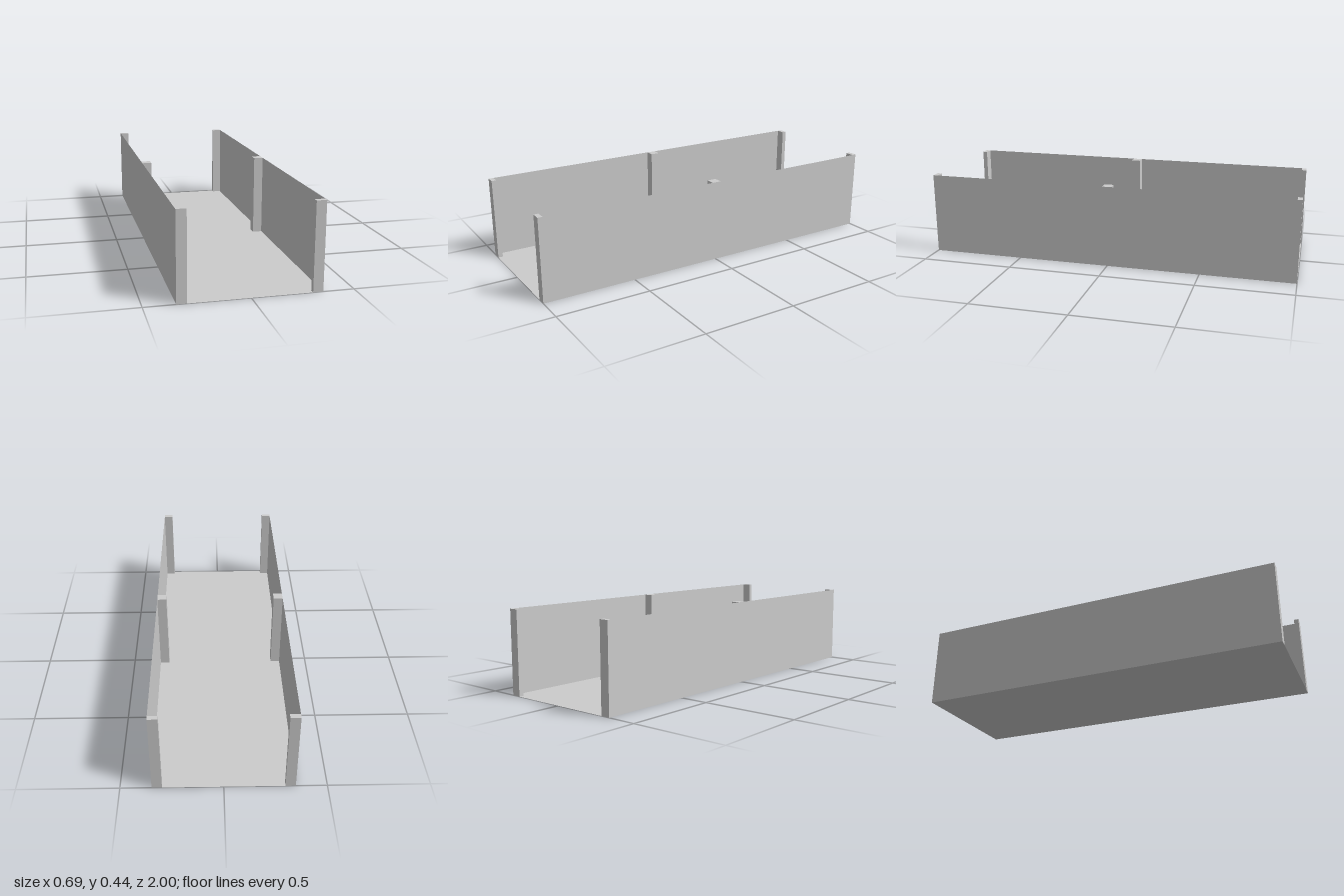
import * as THREE from 'three';

const WIDTH = 0.695, HEIGHT = 0.44, LENGTH = 2, POST = 0.05;

export function createModel() {
  const model = new THREE.Group();
  model.name = 'channel';
  const solid = new THREE.MeshStandardMaterial({ color: 0xcccccc, flatShading: true });
  const sheet = solid.clone();
  sheet.side = THREE.DoubleSide;

  const add = (name, geometry, material, x, y, z) => {
    const mesh = new THREE.Mesh(geometry, material);
    mesh.name = name;
    mesh.position.set(x, y, z);
    model.add(mesh);
  };

  // Thin floor sheet, facing up
  add('floor', new THREE.PlaneGeometry(WIDTH, LENGTH).rotateX(-Math.PI / 2), sheet, 0, 0, 0);

  for (const [side, label] of [[1, 'left'], [-1, 'right']]) {
    // Thin side wall, facing outwards
    const wall = new THREE.PlaneGeometry(LENGTH, HEIGHT).rotateY(side * Math.PI / 2);
    add(label + 'Wall', wall, sheet, side * WIDTH / 2, HEIGHT / 2, 0);

    // Posts inside the wall: half depth at the ends, full depth in the middle
    const x = side * (WIDTH - POST) / 2;
    for (const [end, place] of [[1, 'Front'], [0, 'Middle'], [-1, 'Back']]) {
      const depth = end ? POST / 2 : POST;
      const z = end * (LENGTH - depth) / 2;
      add(label + place + 'Post', new THREE.BoxGeometry(POST, HEIGHT, depth), solid, x, HEIGHT / 2, z);
    }
  }
  return model;
}
